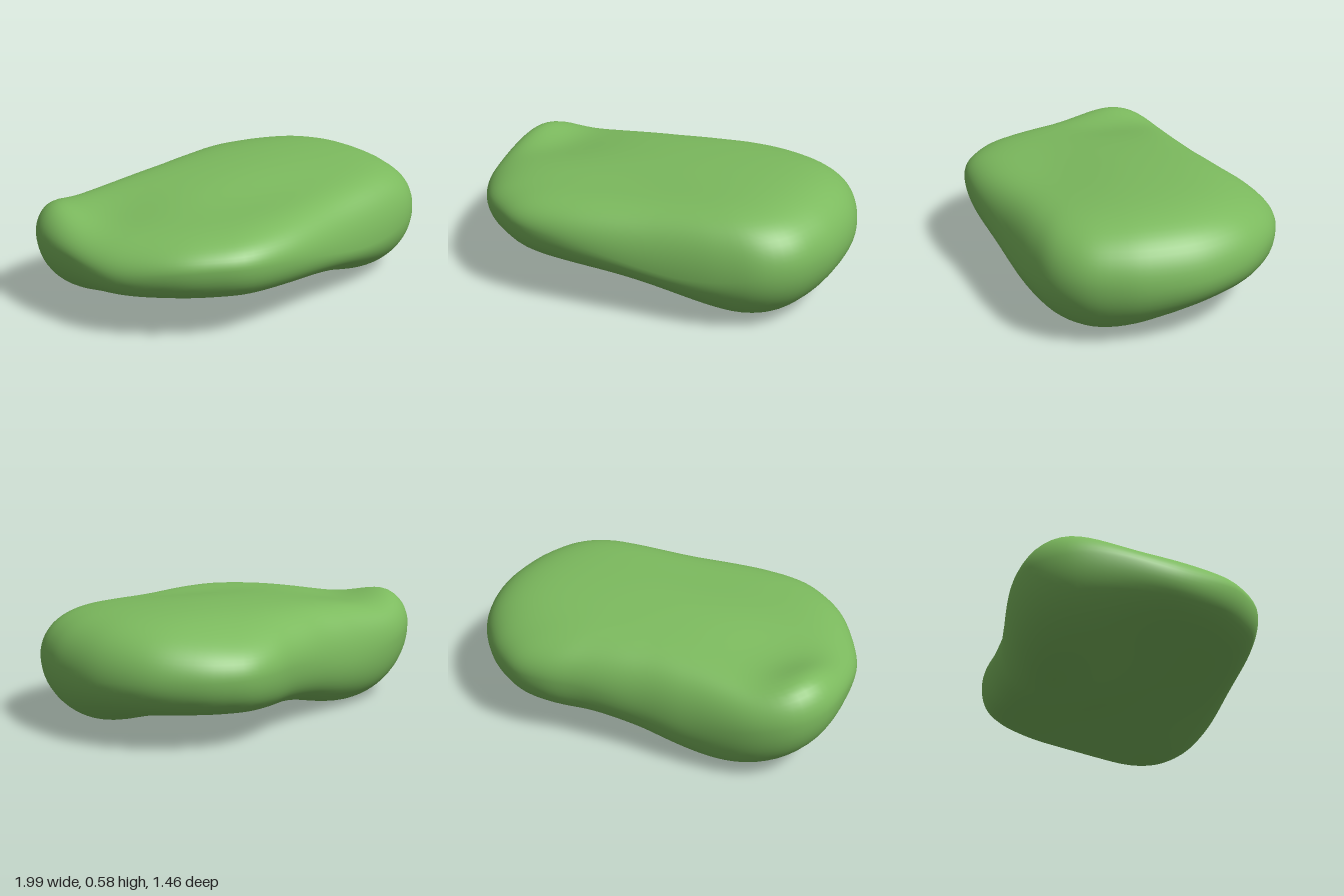
import * as THREE from 'three';

// plan outline as x, z pairs
const OUTLINE = [
  [0.995, 0], [0.96, -0.26], [0.84, -0.49], [0.67, -0.64], [0.55, -0.70], [0.43, -0.73], [0.28, -0.71],
  [0.1, -0.64], [-0.06, -0.59], [-0.2, -0.55], [-0.42, -0.51], [-0.77, -0.43], [-0.92, -0.33], [-0.985, -0.2],
  [-0.99, -0.05], [-0.92, 0.23], [-0.85, 0.37], [-0.67, 0.57], [-0.53, 0.66], [-0.37, 0.72], [-0.13, 0.71],
  [0.3, 0.60], [0.67, 0.50], [0.84, 0.42], [0.94, 0.3], [0.985, 0.13],
];

const bump = (x, z, cx, cz, sx, sz) =>
  Math.exp(-0.5 * (((x - cx) / sx) ** 2 + ((z - cz) / sz) ** 2));

// domed top with shallow hollows and a raised lip at the right end
const topHeight = (x, z) => 0.537 + 0.04 * x
  + 0.036 * bump(x, z, 0.2, -0.15, 0.55, 0.35)
  + 0.11 * bump(x, z, -0.95, -0.2, 0.13, 0.2)
  - 0.03 * bump(x, z, -0.68, -0.05, 0.2, 0.2)
  - 0.015 * bump(x, z, 0.1, 0.32, 0.35, 0.15)
  - 0.05 * bump(x, z, 0.45, -0.75, 0.4, 0.18);

// underside with two lobes and a raised saddle between them
const bottomHeight = (x, z) => 0.165 + 0.04 * z
  - 0.175 * bump(x, z, 0.65, 0.18, 0.34, 0.28)
  - 0.155 * bump(x, z, -0.5, -0.25, 0.34, 0.26);

// widest level, lower along the two straight flanks and the ends
const rimHeight = (x, z) => 0.37 - 0.02 * x + 0.02 * z
  - 0.11 * bump(x, z, 0.5, 0.6, 0.35, 0.25)
  - 0.1 * bump(x, z, -0.45, -0.5, 0.3, 0.25)
  - 0.03 * bump(x, z, 1, -0.1, 0.2, 0.25)
  - 0.06 * bump(x, z, -0.85, 0.35, 0.2, 0.2);

function stoneGeometry(segments = 120, rings = 24) {
  const curve = new THREE.CatmullRomCurve3(
    OUTLINE.map(([x, z]) => new THREE.Vector3(x, 0, z)), true);
  const rim = curve.getSpacedPoints(segments).slice(0, segments);
  const pos = [], index = [];

  // rings run from the top centre over the rim to the bottom centre
  const last = rings * 2;
  const ringStart = (r) => 1 + (r - 1) * segments;
  const addPoint = (x, z, s, isTop) => {
    const round = Math.sqrt(Math.max(0, 1 - s ** (isTop ? 6.8 : 8.5)));
    const mid = rimHeight(x, z);
    const face = isTop ? topHeight(x, z) : bottomHeight(x, z);
    pos.push(x, mid + (face - mid) * round, z);
  };
  addPoint(0, 0, 0, true);
  for (let r = 1; r < last; r++) {
    const t = r <= rings ? r / rings : (last - r) / rings;
    const s = 1 - (1 - t) ** 2;
    for (const p of rim) addPoint(p.x * s, p.z * s, s, r <= rings);
  }
  addPoint(0, 0, 0, false);
  const end = pos.length / 3 - 1;

  for (let i = 0; i < segments; i++) {
    const j = (i + 1) % segments;
    index.push(0, ringStart(1) + i, ringStart(1) + j);
    for (let r = 1; r < last - 1; r++) {
      const a = ringStart(r), b = ringStart(r + 1);
      index.push(a + i, b + i, b + j, a + i, b + j, a + j);
    }
    index.push(ringStart(last - 1) + i, end, ringStart(last - 1) + j);
  }

  const geometry = new THREE.BufferGeometry();
  geometry.setAttribute('position', new THREE.Float32BufferAttribute(pos, 3));
  geometry.setIndex(index);
  geometry.computeVertexNormals();

  // rest on the ground
  geometry.computeBoundingBox();
  geometry.translate(0, -geometry.boundingBox.min.y, 0);
  return geometry;
}

export function createModel() {
  const green = new THREE.MeshStandardMaterial({ color: 0x7cba5e });
  green.name = 'leaf green';
  const body = new THREE.Mesh(stoneGeometry(), green);
  body.name = 'pebbleBody';
  const group = new THREE.Group();
  group.name = 'pebble';
  group.add(body);
  return group;
}
